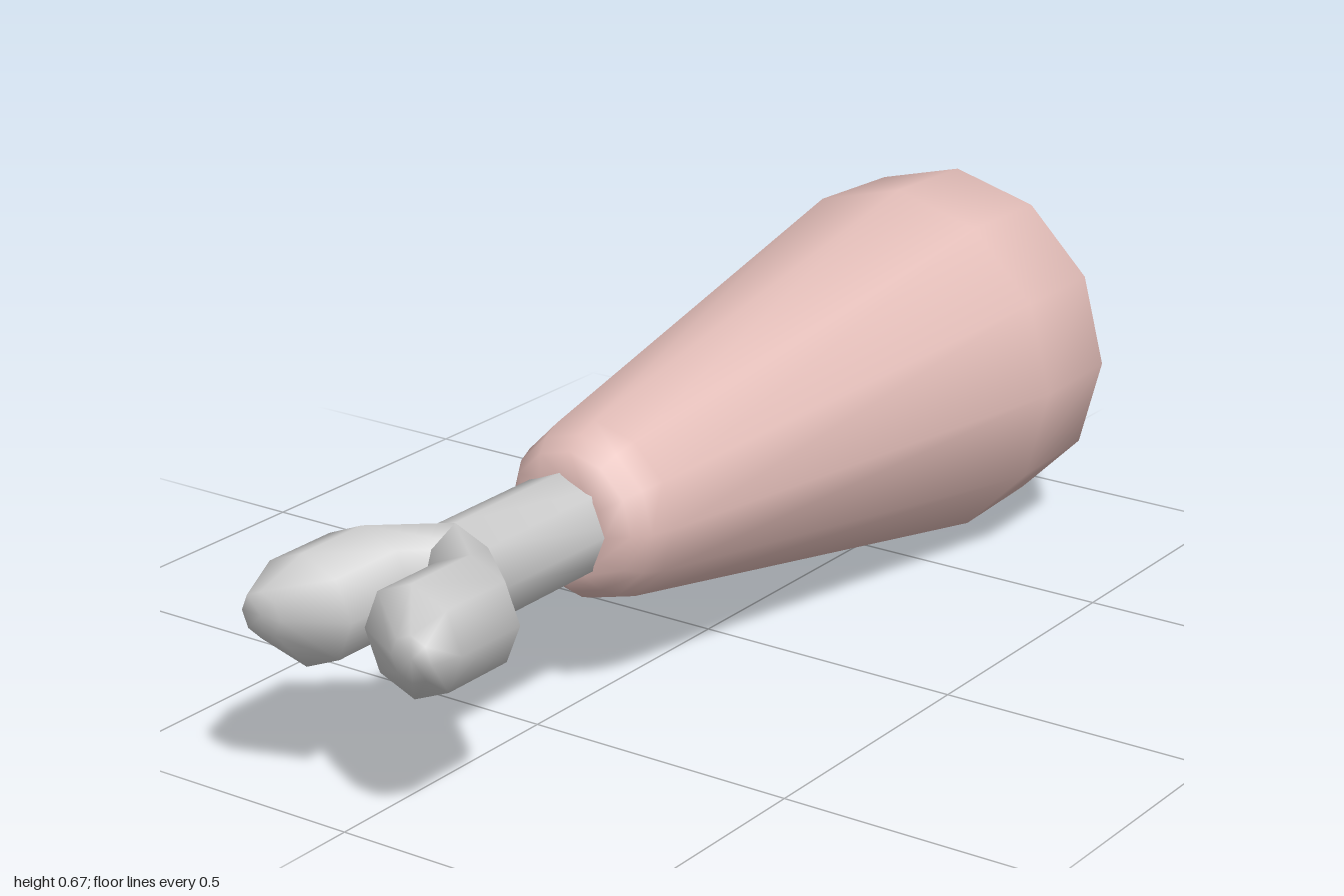
import * as THREE from 'three';

const CY = 0.335;

// Skin a row of round sections [x, z centre, radius], running towards -x
function loft(sections, sides = 8) {
  const pos = [], idx = [];
  for (const [x, z, r] of sections) {
    for (let j = 0; j < sides; j++) {
      const a = (j / sides) * Math.PI * 2;
      pos.push(x, CY + r * Math.cos(a), z + r * Math.sin(a));
    }
  }
  for (let i = 0; i < sections.length - 1; i++) {
    for (let j = 0; j < sides; j++) {
      const k = (j + 1) % sides;
      const p = i * sides + j, q = i * sides + k;
      idx.push(p, p + sides, q, q, p + sides, q + sides);
    }
  }
  const g = new THREE.BufferGeometry();
  g.setAttribute('position', new THREE.Float32BufferAttribute(pos, 3));
  g.setIndex(idx);
  g.computeVertexNormals();
  return g;
}

export function createModel() {
  const model = new THREE.Group();
  model.name = 'drumstick';
  const meatMat = new THREE.MeshStandardMaterial({ color: 0xe2bdb8 });
  const boneMat = new THREE.MeshStandardMaterial({ color: 0xcccccc });

  // Meat: a twelve-sided turned body lying along x
  const profile = [
    [0, -0.42], [0.09, -0.427], [0.125, -0.4], [0.146, -0.37], [0.16, -0.33],
    [0.333, 0.61], [0.325, 0.82], [0.237, 0.95], [0.13, 0.985], [0, 1],
  ].map(([r, x]) => new THREE.Vector2(r, x));
  const meat = new THREE.Mesh(new THREE.LatheGeometry(profile, 12), meatMat);
  meat.name = 'meat';
  meat.rotation.z = -Math.PI / 2;
  meat.position.y = CY;
  model.add(meat);

  // Bone: a straight shaft that forks into two rounded knuckles
  const bone = new THREE.Group();
  bone.name = 'bone';
  const shaft = new THREE.Mesh(loft([[-0.35, 0, 0.094], [-0.7, 0, 0.094]]), boneMat);
  shaft.name = 'shaft';
  bone.add(shaft);
  for (const s of [1, -1]) {
    const knuckle = new THREE.Mesh(loft([
      [-0.7, 0, 0.094], [-0.8, s * 0.11, 0.097], [-0.945, s * 0.11, 0.097],
      [-1, s * 0.152, 0.04], [-1, s * 0.152, 0],
    ]), boneMat);
    knuckle.name = s > 0 ? 'frontKnuckle' : 'backKnuckle';
    bone.add(knuckle);
  }
  bone.position.z = -0.004;
  model.add(bone);
  return model;
}
